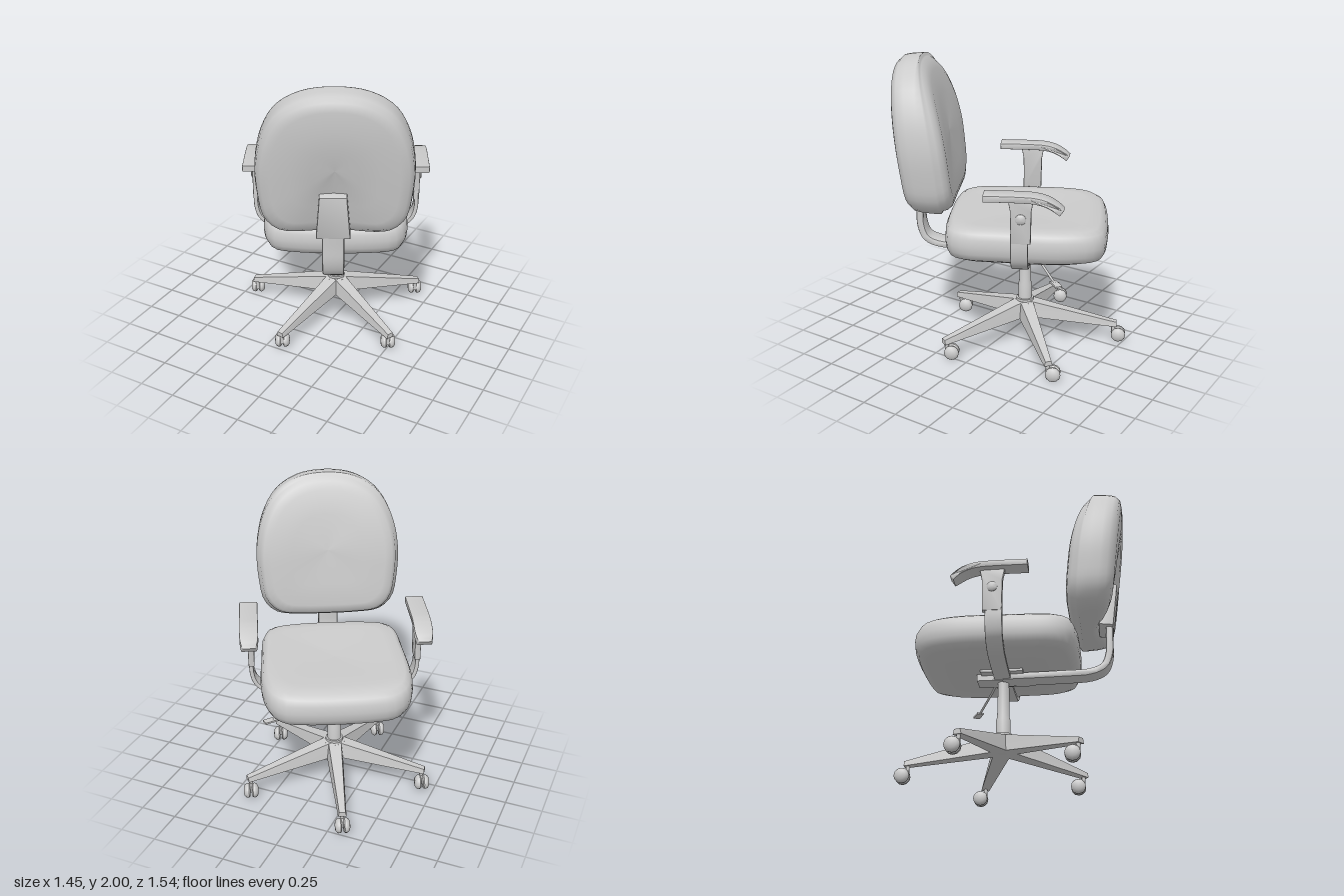
import * as THREE from 'three';
import { toCreasedNormals } from 'three/addons/utils/BufferGeometryUtils.js';

const mat = new THREE.MeshStandardMaterial({ color: 0xcccccc });

function add(parent, name, geometry, x = 0, y = 0, z = 0) {
  const mesh = new THREE.Mesh(geometry, mat);
  mesh.name = name;
  mesh.position.set(x, y, z);
  parent.add(mesh);
  return mesh;
}

// Cushion: a mirrored outline stacked in layers of [scale, height], placed by a mapping rule
function cushion(half, centre, layers, place) {
  const pts = half.map(([a, b]) => new THREE.Vector3(a, b, 0));
  for (let i = half.length - 2; i > 0; i--) pts.push(new THREE.Vector3(-half[i][0], half[i][1], 0));
  const n = 64;
  const ring = new THREE.CatmullRomCurve3(pts, true).getSpacedPoints(n).slice(0, n);
  const pos = [], index = [];
  layers.forEach(([s, h], j) => {
    ring.forEach((p, i) => {
      pos.push(...place(p.x * s, centre + (p.y - centre) * s, h));
      if (j === layers.length - 1) return;
      const k = (i + 1) % n, a = j * n + i, b = j * n + k;
      if (s > 0) index.push(a, b, a + n);
      if (layers[j + 1][0] > 0) index.push(b, b + n, a + n);
    });
  });
  const g = new THREE.BufferGeometry();
  g.setAttribute('position', new THREE.Float32BufferAttribute(pos, 3));
  g.setIndex(index);
  g.computeVertexNormals();
  return g;
}

function extrude(shape, depth, bevel) {
  const g = new THREE.ExtrudeGeometry(shape, {
    depth: depth - 2 * bevel, bevelSize: bevel, bevelThickness: bevel, bevelOffset: -bevel, bevelSegments: 2,
  });
  g.translate(0, 0, -depth / 2 + bevel);
  return toCreasedNormals(g, 0.6);
}

// Flat bar of given thickness and width bent along a path in the xy plane
function strap(path, thickness, width, bevel) {
  const curve = new THREE.CatmullRomCurve3(path.map(([x, y]) => new THREE.Vector3(x, y, 0)), false, 'centripetal');
  const one = [], two = [];
  for (let i = 0; i <= 24; i++) {
    const p = curve.getPoint(i / 24), t = curve.getTangent(i / 24), h = thickness / 2;
    one.push(new THREE.Vector2(p.x - t.y * h, p.y + t.x * h));
    two.unshift(new THREE.Vector2(p.x + t.y * h, p.y - t.x * h));
  }
  return extrude(new THREE.Shape([...one, ...two]), width, bevel);
}

function poly(points) {
  return new THREE.Shape(points.map(([x, y]) => new THREE.Vector2(x, y)));
}

function lathe(points, sides) {
  return toCreasedNormals(new THREE.LatheGeometry(points.map(([r, y]) => new THREE.Vector2(r, y)), sides), 0.6);
}

// Armrest pad: drooping strap whose front end is rounded in plan
function armPadGeometry() {
  const g = strap([[-0.22, 1.243], [0, 1.243], [0.1, 1.238], [0.17, 1.22], [0.225, 1.19], [0.265, 1.16]], 0.042, 0.12, 0.006);
  const p = g.attributes.position;
  for (let i = 0; i < p.count; i++) {
    const t = THREE.MathUtils.clamp((p.getX(i) - 0.19) / 0.09, 0, 1);
    p.setZ(i, p.getZ(i) * Math.sqrt(1 - 0.6 * t * t));
  }
  return toCreasedNormals(g, 0.6);
}

export function createModel() {
  const model = new THREE.Group();
  const chair = new THREE.Group();
  chair.name = 'officeChair';
  chair.position.set(-0.04, 0, -0.13);
  chair.rotation.y = Math.PI + 0.478;
  model.add(chair);

  // Seat cushion
  add(chair, 'seat', cushion(
    [[0, -0.56], [0.25, -0.55], [0.36, -0.53], [0.44, -0.46], [0.48, -0.34], [0.495, -0.2],
      [0.485, 0.15], [0.47, 0.37], [0.415, 0.47], [0.25, 0.51], [0, 0.52]], 0,
    [[0, 0.715], [0.6, 0.725], [0.86, 0.74], [0.95, 0.765], [0.99, 0.81], [1, 0.86], [0.99, 0.91],
      [0.96, 0.945], [0.9, 0.965], [0.75, 0.97], [0.4, 0.955], [0, 0.95]],
    (a, b, h) => [a, h - 0.5 * Math.max(0, -b - 0.35) ** 2, -b]));

  // Backrest cushion: leans back, slightly hollow in front, with a channel behind for the bracket
  add(chair, 'backrest', cushion(
    [[0, 1.01], [0.2, 1.015], [0.36, 1.04], [0.45, 1.13], [0.484, 1.3], [0.49, 1.5],
      [0.45, 1.7], [0.355, 1.87], [0.2, 1.97], [0, 2]], 1.5,
    [[0, -0.185], [0.3, -0.185], [0.55, -0.18], [0.8, -0.17], [0.91, -0.155], [0.97, -0.12], [0.99, -0.07],
      [1, 0], [1, 0.04], [0.965, 0.055], [0.95, 0.085], [0.9, 0.115], [0.8, 0.13], [0.5, 0.13], [0, 0.12]],
    (a, b, h) => {
      const channel = 0.08 * Math.exp(-((a / 0.2) ** 2)) * THREE.MathUtils.smoothstep(1.75 - b, 0, 0.6);
      const front = 0.1 * a * a - 0.25 * Math.max(0, b - 1.4) ** 2 * Math.min(1, h / 0.1);
      return [a, b, h - 0.625 - 0.115 * (b - 1.5) + (h > 0 ? front : channel * Math.min(1, -h / 0.15))];
    }));

  // Backrest bracket and bent support bar
  const bracket = add(chair, 'backBracket', extrude(
    poly([[-0.108, 0], [0.108, 0], [0.085, 0.31], [-0.085, 0.31]]), 0.1, 0.01), 0.01, 1.02, -0.695);
  bracket.rotation.x = -0.12;
  const bar = add(chair, 'backSupport', strap(
    [[-0.72, 1.08], [-0.715, 0.95], [-0.71, 0.83], [-0.675, 0.745], [-0.59, 0.705], [-0.4, 0.695], [0, 0.69]],
    0.05, 0.14, 0.015), 0.01);
  bar.rotation.y = -Math.PI / 2;

  // Armrests
  for (const side of [1, -1]) {
    const arm = new THREE.Group();
    arm.name = side > 0 ? 'leftArm' : 'rightArm';
    if (side < 0) arm.rotation.y = Math.PI;
    chair.add(arm);
    add(arm, 'armStrap', strap(
      [[0.55, 1], [0.55, 0.87], [0.52, 0.785], [0.44, 0.725], [0.3, 0.7], [0, 0.685]], 0.028, 0.11, 0.006));
    const post = add(arm, 'armPost', extrude(
      poly([[-0.062, 0.935], [0.062, 0.935], [0.066, 1.15], [0.08, 1.225], [-0.08, 1.225], [-0.066, 1.15]]),
      0.04, 0.006), 0.55, 0, 0.01 * side);
    post.rotation.y = Math.PI / 2;
    const knob = add(arm, 'armKnob', lathe([[0, 0], [0.034, 0], [0.034, 0.006], [0.025, 0.014], [0, 0.018]], 16),
      0.568, 1.1, 0.01 * side);
    knob.rotation.z = -Math.PI / 2;
    add(arm, 'armPad', armPadGeometry(), 0.558).rotation.y = -Math.PI / 2 * side;
  }

  // Tilt mechanism under the seat
  add(chair, 'mechanism', new THREE.BoxGeometry(0.13, 0.045, 0.34), 0, 0.692, 0);
  add(chair, 'seatPlate', new THREE.BoxGeometry(0.26, 0.03, 0.28), 0, 0.718, 0);

  // Height lever with a flat handle
  const leverPath = new THREE.CatmullRomCurve3([
    new THREE.Vector3(0, 0.685, 0.04), new THREE.Vector3(-0.13, 0.665, 0.09),
    new THREE.Vector3(-0.39, 0.612, 0.21), new THREE.Vector3(-0.43, 0.61, 0.225)]);
  add(chair, 'lever', new THREE.TubeGeometry(leverPath, 16, 0.008, 8));
  const handle = add(chair, 'leverHandle', new THREE.BoxGeometry(0.1, 0.012, 0.045), -0.435, 0.61, 0.23);
  handle.rotation.y = 0.45;

  // Gas column and hub
  add(chair, 'column', lathe([[0, 0.2], [0.047, 0.2], [0.047, 0.41], [0.041, 0.43], [0.037, 0.68], [0, 0.68]], 20));
  add(chair, 'hub', lathe([[0, 0.18], [0.07, 0.18], [0.075, 0.285], [0.06, 0.29], [0.06, 0.308], [0, 0.308]], 20));

  // Five tapered legs with twin-wheel casters
  const leg = new THREE.BoxGeometry(1, 1, 1);
  const p = leg.attributes.position;
  for (let i = 0; i < p.count; i++) {
    const t = p.getZ(i) + 0.5, top = p.getY(i) > 0;
    const width = THREE.MathUtils.lerp(top ? 0.09 : 0.115, top ? 0.04 : 0.055, t);
    p.setXYZ(i, p.getX(i) * width,
      top ? THREE.MathUtils.lerp(0.295, 0.145, t) : THREE.MathUtils.lerp(0.18, 0.112, t), 0.03 + 0.612 * t);
  }
  leg.computeVertexNormals();
  const wheel = lathe([[0, 0.006], [0.04, 0.006], [0.049, 0.014], [0.05, 0.027], [0.044, 0.038], [0.03, 0.048], [0, 0.051]], 12);
  for (let i = 0; i < 5; i++) {
    const angle = i * Math.PI * 2 / 5;
    add(chair, 'leg', leg).rotation.y = angle;
    const caster = new THREE.Group();
    caster.name = 'caster';
    caster.position.set(0.62 * Math.sin(angle), 0, 0.62 * Math.cos(angle));
    chair.add(caster);
    add(caster, 'casterStem', new THREE.CylinderGeometry(0.013, 0.013, 0.08, 10), 0, 0.1, 0);
    add(caster, 'casterFork', new THREE.BoxGeometry(0.024, 0.045, 0.06), 0, 0.065, 0.02);
    for (const s of [-1, 1]) add(caster, 'wheel', wheel, 0, 0.05, 0.035).rotation.z = s * Math.PI / 2;
  }
  return model;
}
